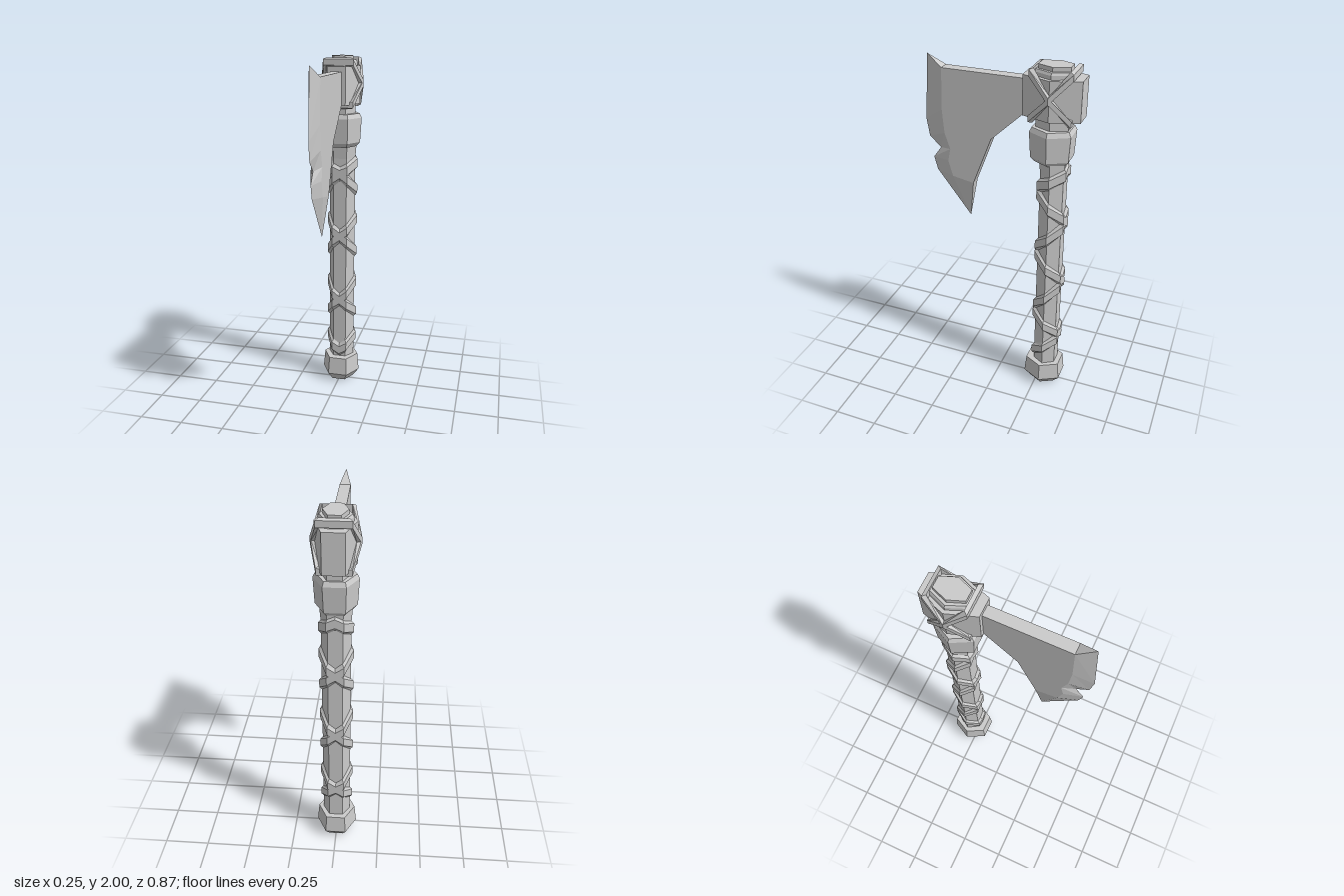
import * as THREE from 'three';

const AXIS_Z = -0.284;   // centre line of the fittings
const GRIP_Z = -0.295;   // centre line of the grip
const material = new THREE.MeshStandardMaterial({ color: 0xcccccc, flatShading: true });
const vec = (x, y, z) => new THREE.Vector3(x, y, z);

function addMesh(group, name, geometry) {
  const mesh = new THREE.Mesh(geometry, material);
  mesh.name = name;
  group.add(mesh);
  return mesh;
}

// Collects triangles, each turned to face a given direction
function faceBuilder() {
  const pos = [];
  const tri = (a, b, c, dir) => {
    const n = b.clone().sub(a).cross(c.clone().sub(a));
    const order = n.dot(dir) < 0 ? [a, c, b] : [a, b, c];
    order.forEach(p => pos.push(p.x, p.y, p.z));
  };
  const quad = (a, b, c, d, dir) => { tri(a, b, c, dir); tri(a, c, d, dir); };
  const build = () => {
    const g = new THREE.BufferGeometry();
    g.setAttribute('position', new THREE.Float32BufferAttribute(pos, 3));
    g.computeVertexNormals();
    return g;
  };
  return { tri, quad, build };
}

// Six-sided turned part from [radius, y] pairs, corners on the left and right
function hexTurned(profile, scaleZ, z) {
  const bottom = profile[0][1], top = profile[profile.length - 1][1];
  const pts = [[0, bottom], ...profile, [0, top]].map(p => new THREE.Vector2(...p));
  return new THREE.LatheGeometry(pts, 6).rotateY(Math.PI / 2).scale(1, 1, scaleZ).translate(0, 0, z);
}

// Bevelled strap along a path around the vertical axis at z = cz
function strap(path, cz, k, hInner, hOuter, closed) {
  const f = faceBuilder();
  const rings = path.map(p => {
    const at = (s, dy) => vec(p.x * s, p.y + dy, cz + (p.z - cz) * s);
    return [at(0.96, -hInner), at(k, -hOuter), at(k, hOuter), at(0.96, hInner)];
  });
  const centre = r => r.reduce((s, p) => s.add(p), vec(0, 0, 0)).multiplyScalar(0.25);
  const last = rings.length - 1;
  for (let i = 0; i < (closed ? rings.length : last); i++) {
    const a = rings[i], b = rings[(i + 1) % rings.length];
    const mid = centre(a).add(centre(b)).multiplyScalar(0.5);
    for (let j = 0; j < 4; j++) {
      const q = [a[j], a[(j + 1) % 4], b[(j + 1) % 4], b[j]];
      f.quad(...q, centre(q).sub(mid));
    }
  }
  if (!closed) {
    f.quad(...rings[0], centre(rings[0]).sub(centre(rings[1])));
    f.quad(...rings[last], centre(rings[last]).sub(centre(rings[last - 1])));
  }
  return f.build();
}

// Spiral path on the hexagonal grip, half a turn between listed heights
function spiralPath(side) {
  const heights = [1.45, 1.33, 1.14, 0.95, 0.75, 0.54, 0.36, 0.2];
  const R = 0.077, path = [];
  const add = (turn, y) => {
    const a = (turn - 0.5) * Math.PI;
    const r = Number.isInteger(turn) ? R * Math.cos(Math.PI / 6) : R;
    path.push(vec(side * r * Math.cos(a), y, GRIP_Z + r * Math.sin(a)));
  };
  heights.forEach((y, i) => {
    add(i, y);
    if (i === heights.length - 1) return;
    for (const t of [1 / 6, 1 / 2, 5 / 6]) add(i + t, y + (heights[i + 1] - y) * t);
  });
  return path;
}

// Blade: thick flat core, sharpened to a chipped cutting edge; points are [z, y]
function bladeGeometry() {
  const half = 0.03;
  const edge = [[0.407, 1.976], [0.434, 1.617], [0.418, 1.516], [0.354, 1.458],
    [0.4, 1.394], [0.38, 1.32], [0.185, 1.066]];
  const core = [[0.317, 1.918], [0.325, 1.69], [0.315, 1.56], [0.285, 1.47],
    [0.3, 1.4], [0.275, 1.31], [0.153, 1.288]];
  const back = [[0.048, 1.564], [-0.13, 1.733], [-0.2, 1.79], [-0.2, 1.918]];
  const at = (p, x) => vec(x, p[1], p[0]);
  const f = faceBuilder();
  const outline = [...core, ...back];
  const flat = THREE.ShapeUtils.triangulateShape(outline.map(p => new THREE.Vector2(...p)), []);
  for (const s of [1, -1]) {
    const out = vec(s, 0, 0), x = s * half;
    flat.forEach(t => f.tri(...t.map(i => at(outline[i], x)), out));
    for (let i = 0; i < core.length - 1; i++) {
      f.tri(at(core[i], x), at(edge[i], 0), at(edge[i + 1], 0), out);
      f.tri(at(core[i], x), at(edge[i + 1], 0), at(core[i + 1], x), out);
    }
  }
  // rim along the top and the rear underside
  const up = vec(0, 1, 0), under = vec(0, -1, -1);
  const rim = (p, q, dir) => f.quad(at(p, half), at(q, half), at(q, -half), at(p, -half), dir);
  rim(back[3], core[0], up);
  rim(core[6], back[0], under);
  rim(back[0], back[1], under);
  rim(back[1], back[2], under);
  f.tri(at(core[0], half), at(edge[0], 0), at(core[0], -half), up);
  f.tri(at(core[6], half), at(edge[6], 0), at(core[6], -half), under);
  return f.build();
}

export function createModel() {
  const axe = new THREE.Group();
  axe.name = 'axe';

  // Shaft and fittings
  addMesh(axe, 'pommel', hexTurned([[0.077, 0], [0.115, 0.05], [0.105, 0.157]], 1.1, -0.288));
  addMesh(axe, 'grip', hexTurned([[0.077, 0.1], [0.077, 1.42], [0.085, 1.52]], 0.96, GRIP_Z));
  addMesh(axe, 'collar',
    hexTurned([[0.085, 1.49], [0.107, 1.515], [0.115, 1.655], [0.103, 1.68]], 1.1, -0.281));
  addMesh(axe, 'neck', hexTurned([[0.076, 1.66], [0.076, 1.76]], 1.3, AXIS_Z));
  addMesh(axe, 'headCore', hexTurned([[0.085, 1.735], [0.085, 1.965], [0.078, 1.978]], 1.43, AXIS_Z));
  addMesh(axe, 'cap', hexTurned([[0.062, 1.95], [0.062, 2]], 1.53, AXIS_Z));

  // Leather spirals, crossing at the front and back of the grip
  for (const side of [1, -1]) {
    addMesh(axe, side > 0 ? 'leftGripWrap' : 'rightGripWrap',
      strap(spiralPath(side), GRIP_Z, 1.18, 0.042, 0.024, false));
  }

  // Socket holding the blade
  const plan = [[0.055, 0.434], [0.104, 0.284], [0.052, 0.13]];
  const corners = [...plan, ...plan.map(([x, d]) => [-x, d]).reverse()];
  const socket = new THREE.ExtrudeGeometry(
    new THREE.Shape(corners.map(p => new THREE.Vector2(...p))), { depth: 0.21, bevelEnabled: false });
  addMesh(axe, 'socket', socket.rotateX(-Math.PI / 2).translate(0, 1.735, 0));

  // Two lashings crossing on each side of the socket
  for (const s of [1, -1]) {
    const z = d => AXIS_Z + s * d;
    const path = [vec(0.074, 1.967, z(0.096)), vec(0.106, 1.85, z(0)), vec(0.074, 1.735, z(-0.096)),
      vec(-0.074, 1.735, z(-0.096)), vec(-0.106, 1.85, z(0)), vec(-0.074, 1.967, z(0.096))];
    addMesh(axe, s > 0 ? 'frontLashing' : 'backLashing', strap(path, AXIS_Z, 1.16, 0.024, 0.017, true));
  }

  addMesh(axe, 'blade', bladeGeometry());
  return axe;
}
